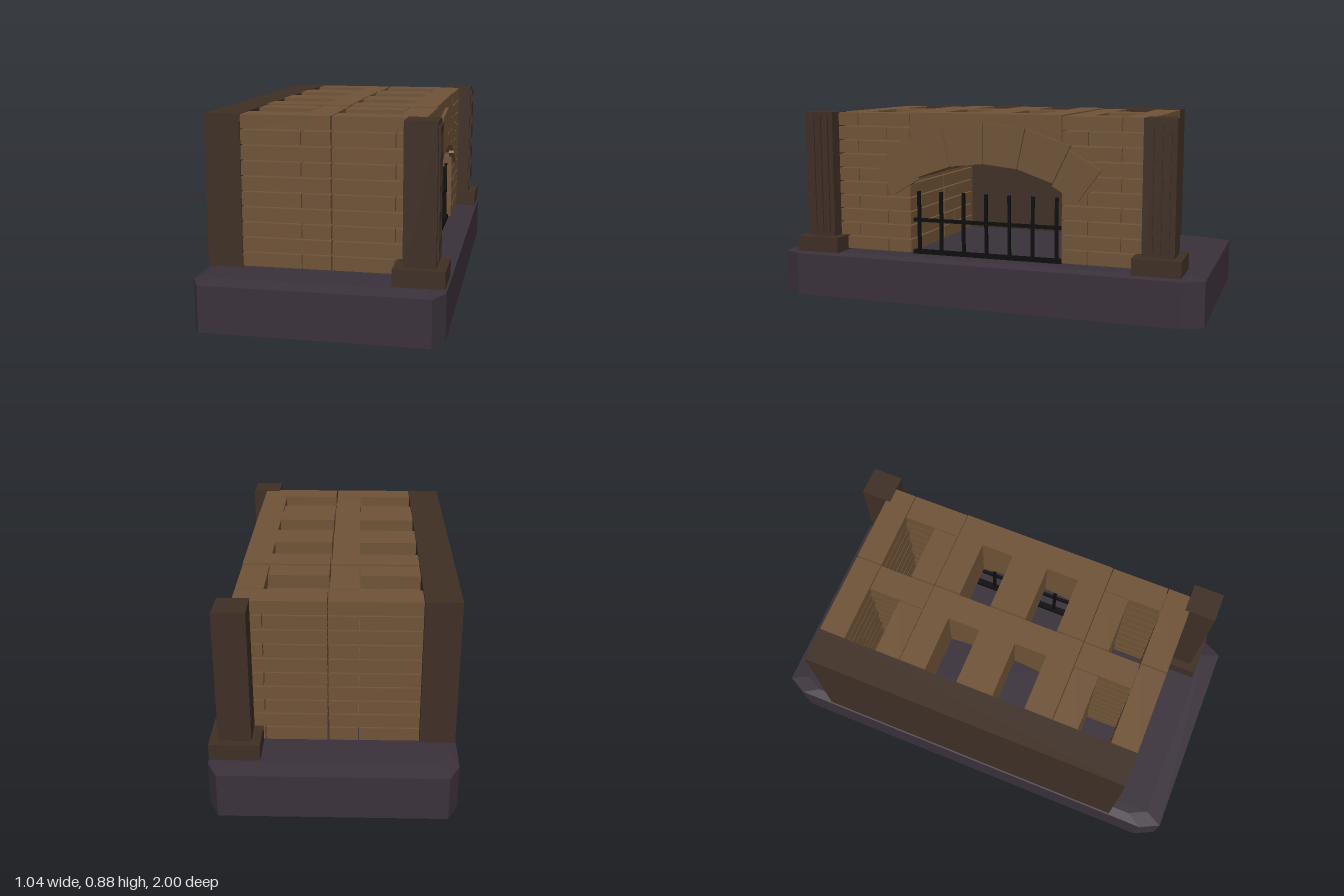
import * as THREE from 'three';
import { ConvexGeometry } from 'three/addons/geometries/ConvexGeometry.js';

const mat = (name, color) => {
  const m = new THREE.MeshStandardMaterial({ color });
  m.name = name;
  return m;
};

export function createModel() {
  const stone = mat('plum stone', 0x3a313b);
  const brick = mat('brown brick', 0x6f5337);
  const wood = mat('dark brown', 0x3f2f25);
  const iron = mat('black iron', 0x0c0c0c);
  stone.flatShading = true;

  const root = new THREE.Group();
  root.name = 'fireplace';

  const add = (name, geo, material, parent = root) => {
    const mesh = new THREE.Mesh(geo, material);
    mesh.name = name;
    parent.add(mesh);
    return mesh;
  };
  // Box given by its minimum and maximum on each axis
  const box = (name, material, [x0, x1], [y0, y1], [z0, z1], parent) => {
    const mesh = add(name, new THREE.BoxGeometry(x1 - x0, y1 - y0, z1 - z0), material, parent);
    mesh.position.set((x0 + x1) / 2, (y0 + y1) / 2, (z0 + z1) / 2);
    return mesh;
  };
  const subgroup = (name) => {
    const g = new THREE.Group();
    g.name = name;
    root.add(g);
    return g;
  };
  // Profile drawn as (z, y) points, given a thickness along x
  const slice = (name, material, points, x0, x1, parent) => {
    const shape = new THREE.Shape(points.map(([z, y]) => new THREE.Vector2(-z, y)));
    const geo = new THREE.ExtrudeGeometry(shape, { depth: x1 - x0, bevelEnabled: false });
    geo.rotateY(Math.PI / 2);
    geo.translate(x0, 0, 0);
    return add(name, geo, material, parent);
  };

  // Hearth plinth: clipped corners and a shallow bevel above and below
  const hearth = [];
  for (const [y, sx, sz] of [[0, 0.92, 0.92], [0.012, 1, 1], [0.21, 1, 1], [0.222, 0.92, 0.92]]) {
    for (const a of [-1, 1]) for (const b of [-1, 1]) {
      hearth.push(new THREE.Vector3(a * 0.475 * sx, y, b * sz));
      hearth.push(new THREE.Vector3(a * 0.52 * sx, y, b * 0.91 * sz));
    }
  }
  add('hearth', new ConvexGeometry(hearth), stone);

  // Back slab
  box('backSlab', wood, [-0.515, -0.362], [0.22, 0.876], [-0.75, 0.75]);

  // Hollow side walls: ten courses, the bond swapped on every other one
  const columns = [[-0.36, -0.1, 0.022], [0.029, 0.294, 0.412]];
  const pitch = 0.0652;
  for (const side of [-1, 1]) {
    const wall = subgroup(side > 0 ? 'leftBrickWall' : 'rightBrickWall');
    const zRange = (a, b) => (side > 0 ? [a, b] : [-b, -a]);
    for (let i = 0; i < 10; i++) {
      const y = [0.229 + i * pitch, 0.229 + i * pitch + 0.059];
      const full = i % 2 === 1;
      for (const [x0, x1, x2] of columns) {
        box('outerBrick', brick, [x0, full ? x2 : x1 - 0.004], y, zRange(0.63, 0.75), wall);
        box('innerBrick', brick, [x0, full ? x1 - 0.004 : x2], y, zRange(0.364, 0.478), wall);
        box('crossBrick', brick, [x1, x2], y, full ? zRange(0.364, 0.626) : zRange(0.482, 0.75), wall);
      }
    }
  }

  // Arched vault over the firebox, with open flues between its ribs
  const arcY = -0.1;
  const inner = 0.76;
  const vault = subgroup('vault');
  const rib = (z0, z1, x0, x1) => {
    const points = [[z1, 0.88], [z0, 0.88]];
    const steps = z1 - z0 > 0.5 ? 16 : 4;
    for (let i = 0; i <= steps; i++) {
      const z = z0 + ((z1 - z0) * i) / steps;
      points.push([z, arcY + Math.sqrt(inner * inner - z * z)]);
    }
    slice('vaultRib', brick, points, x0, x1, vault);
  };
  for (const [x0, x1, x2] of columns) {
    rib(-0.36, 0.36, x1, x2);
    for (const [z0, z1] of [[-0.36, -0.238], [-0.088, 0.082], [0.232, 0.36]]) rib(z0, z1, x0, x1);
  }

  // Six arch stones around the opening
  const arch = subgroup('archStones');
  const angles = [0, 12.2, 25.5, 36].map(THREE.MathUtils.degToRad);
  const at = (r, a) => [r * Math.sin(a), arcY + r * Math.cos(a)];
  for (const side of [-1, 1]) {
    for (let i = 0; i < 3; i++) {
      const a = side * (angles[i] + 0.002);
      const b = side * (angles[i + 1] - 0.002);
      const r = i === 2 ? [0.745, 0.922] : [0.757, 0.94];
      slice('archStone', brick, [at(r[0], a), at(r[1], a), at(r[1], b), at(r[0], b)], 0.4, 0.427, arch);
    }
  }

  // Corner pillars with plinths and raised strips
  for (const side of [-1, 1]) {
    const pillar = subgroup(side > 0 ? 'leftPillar' : 'rightPillar');
    const zc = side * 0.8;
    box('pillarPlinth', wood, [0.302, 0.515], [0.222, 0.294], [zc - 0.105, zc + 0.105], pillar);
    box('pillarShaft', wood, [0.34, 0.474], [0.222, 0.878], [zc - 0.07, zc + 0.07], pillar);
    for (const dz of [-0.036, 0, 0.036]) {
      box('pillarStrip', wood, [0.47, 0.482], [0.315, 0.86], [zc + dz - 0.012, zc + dz + 0.012], pillar);
    }
  }

  // Iron grate across the opening
  const grate = subgroup('grate');
  box('bottomRail', iron, [0.37, 0.4], [0.22, 0.24], [-0.36, 0.36], grate);
  box('middleRail', iron, [0.378, 0.392], [0.373, 0.389], [-0.36, 0.36], grate);
  for (let i = -3; i <= 3; i++) {
    const z = i * 0.111;
    box('upright', iron, [0.378, 0.392], [0.22, 0.515], [z - 0.007, z + 0.007], grate);
  }

  return root;
}
